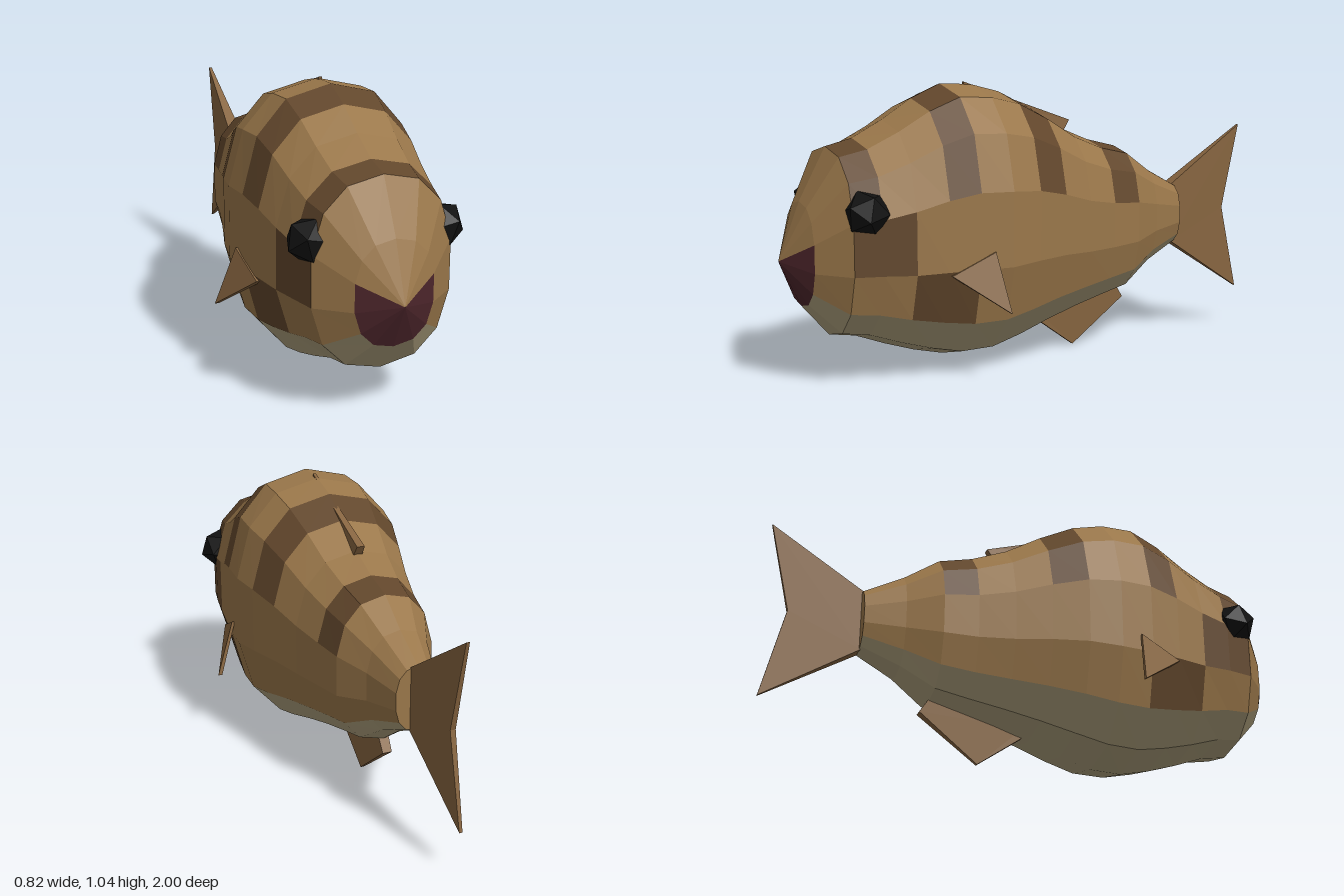
import * as THREE from 'three';

const paint = (color) => new THREE.MeshStandardMaterial({ color, flatShading: true, side: THREE.DoubleSide });

function facetedMesh(name, positions, material) {
  const geometry = new THREE.BufferGeometry();
  geometry.setAttribute('position', new THREE.Float32BufferAttribute(positions, 3));
  geometry.computeVertexNormals();
  const mesh = new THREE.Mesh(geometry, material);
  mesh.name = name;
  return mesh;
}

// Body stations from mouth to tail root: z, top, bottom, half width
const STATIONS = [
  [0.92, 0.64, 0.27, 0.14], [0.82, 0.827, 0.156, 0.25], [0.72, 0.852, 0.14, 0.272],
  [0.605, 0.912, 0.097, 0.29], [0.49, 0.985, 0.06, 0.31], [0.375, 1.035, 0.033, 0.327],
  [0.25, 1.03, 0.037, 0.335], [0.13, 1.0, 0.07, 0.315], [0, 0.935, 0.112, 0.277],
  [-0.13, 0.857, 0.15, 0.24], [-0.26, 0.805, 0.182, 0.207], [-0.385, 0.775, 0.212, 0.185],
  [-0.51, 0.69, 0.3, 0.125], [-0.655, 0.613, 0.372, 0.08],
];

// Quarter of the 14-sided cross-section, mirrored to a full ring
const HALF = [[0, 1], [0.507, 0.917], [0.836, 0.672], [1, 0.27], [1, -0.27], [0.836, -0.672], [0.507, -0.917], [0, -1]];
const RING = [...HALF, ...HALF.slice(1, 7).reverse().map(([x, y]) => [-x, y])];
const SIDES = RING.length;

const ringAt = ([z, top, bottom, w]) =>
  RING.map(([x, y]) => [x * w, (top + bottom) / 2 + (y * (top - bottom)) / 2, z]);

// Colour area of a panel: row counts from the mouth, band from back to belly
function bodyArea(row, band) {
  if (band >= 5) return 'belly';
  if (band <= 2 && [1, 4, 7, 10].includes(row)) return 'stripes';
  if (band === 3 && (row === 1 || row === 2)) return 'stripes';
  if (band === 4 && (row === 3 || row === 4)) return 'stripes';
  return 'body';
}

function makeBody() {
  const areas = { body: [], stripes: [], belly: [], mouth: [] };
  const rings = STATIONS.map(ringAt);
  const nose = [0, 0.435, 1];
  const last = rings[rings.length - 1];
  for (let i = 0; i < SIDES; i++) {
    const j = (i + 1) % SIDES;
    const band = Math.min(i, SIDES - 1 - i);
    // snout fan, panels along the body, rear cap
    areas[band >= 3 ? 'mouth' : 'body'].push(...nose, ...rings[0][j], ...rings[0][i]);
    for (let r = 0; r < rings.length - 1; r++) {
      const [a, b, c, d] = [rings[r][i], rings[r][j], rings[r + 1][j], rings[r + 1][i]];
      areas[bodyArea(r, band)].push(...a, ...b, ...c, ...a, ...c, ...d);
    }
    areas.body.push(0, 0.49, -0.655, ...last[i], ...last[j]);
  }
  const colors = { body: 0x9a774a, stripes: 0x62472c, belly: 0xb0a27e, mouth: 0x4c252b };
  const group = new THREE.Group();
  group.name = 'fishBody';
  for (const key in areas) group.add(facetedMesh(key, areas[key], paint(colors[key])));
  return group;
}

// Tapered fin from an outline of [x, y, z, half thickness]
function makeFin(name, outline, material) {
  const tris = THREE.ShapeUtils.triangulateShape(outline.map((p) => new THREE.Vector2(-p[2], p[1])), []);
  const at = (i, s) => [outline[i][0] + s * outline[i][3], outline[i][1], outline[i][2]];
  const out = [];
  for (const [a, b, c] of tris) {
    out.push(...at(a, 1), ...at(b, 1), ...at(c, 1));
    out.push(...at(a, -1), ...at(c, -1), ...at(b, -1));
  }
  outline.forEach((_, i) => {
    const j = (i + 1) % outline.length;
    out.push(...at(i, 1), ...at(i, -1), ...at(j, -1), ...at(i, 1), ...at(j, -1), ...at(j, 1));
  });
  return facetedMesh(name, out, material);
}

export function createModel() {
  const model = new THREE.Group();
  model.name = 'fish';
  model.add(makeBody());

  const finPaint = paint(0x876540);
  model.add(makeFin('tailFin', [
    [0, 0.375, -0.65, 0.026], [0, 0.155, -1, 0.006], [0, 0.495, -0.92, 0.01],
    [0, 0.835, -1, 0.006], [0, 0.61, -0.65, 0.026],
  ], finPaint));
  model.add(makeFin('dorsalFin', [
    [0, 0.98, 0.27, 0.006], [0, 0.8, -0.12, 0.018], [0, 0.84, -0.14, 0.018],
    [0, 0.885, -0.17, 0.015], [0, 1.04, 0.28, 0.006],
  ], finPaint));
  model.add(makeFin('analFin', [
    [0, 0.16, -0.02, 0.01], [0, 0.125, -0.02, 0.01], [0, 0, -0.195, 0.007],
    [0, 0.17, -0.42, 0.018], [0, 0.24, -0.375, 0.02],
  ], finPaint));

  // Paired side fins and eyes
  const eyePaint = paint(0x111111);
  for (const [side, s] of [['left', 1], ['right', -1]]) {
    model.add(makeFin(side + 'PectoralFin', [
      [s * 0.305, 0.385, 0.485, 0.012], [s * 0.402, 0.25, 0.3, 0.008], [s * 0.332, 0.46, 0.325, 0.006],
    ], finPaint));
    const eye = new THREE.Mesh(new THREE.IcosahedronGeometry(0.083, 0), eyePaint);
    eye.name = side + 'Eye';
    eye.position.set(s * 0.237, 0.617, 0.768);
    eye.rotation.set(0.25, s * 0.3, s * -0.3);
    model.add(eye);
  }
  return model;
}
